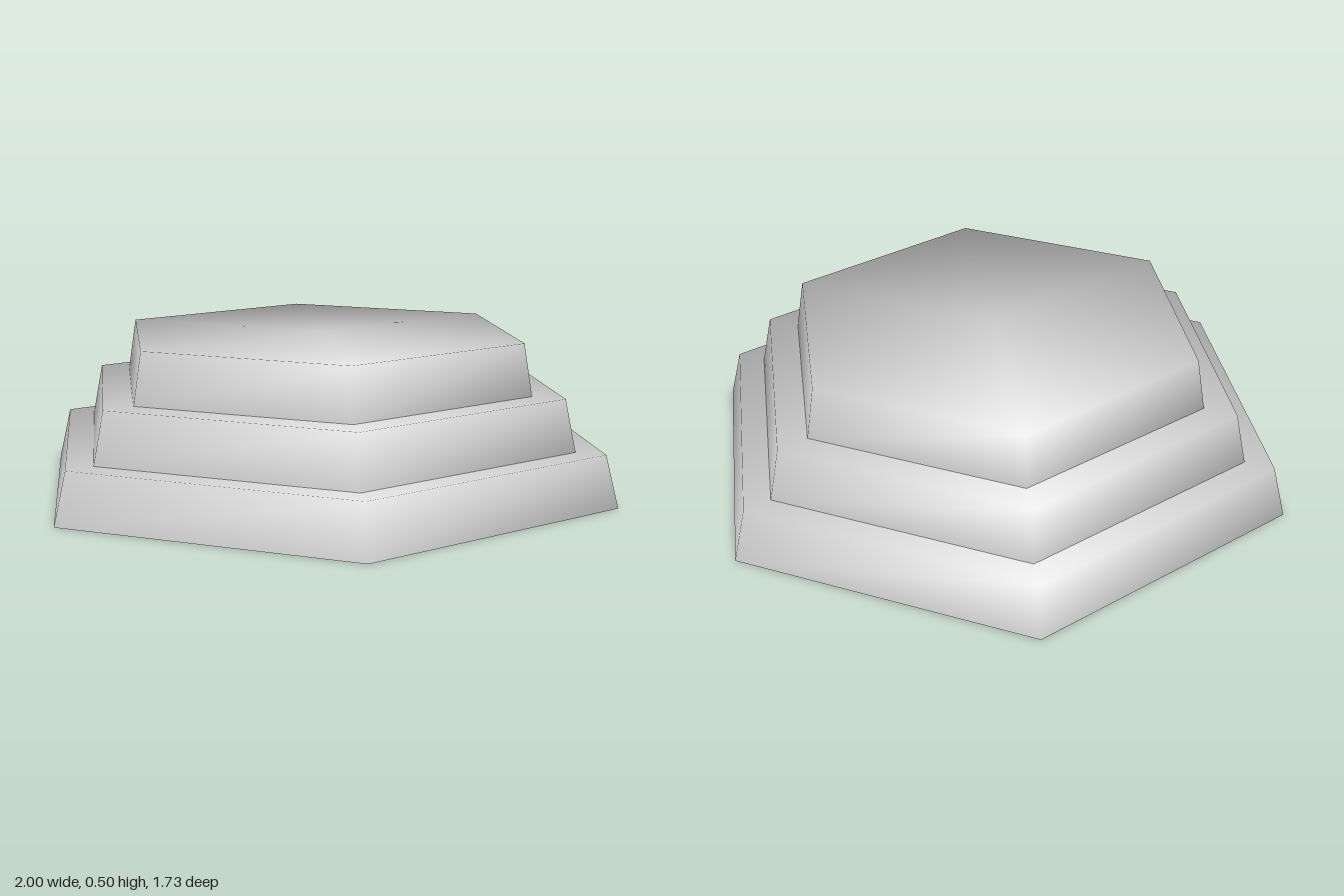
import * as THREE from 'three';

const SIDES = 6;
const TIER_HEIGHT = 1 / 6;

// Smooth normals in which every triangle around a corner counts equally
function setEvenNormals(geometry) {
  const position = geometry.attributes.position;
  const index = geometry.index;
  const sums = Array.from({ length: position.count }, () => new THREE.Vector3());
  const corners = [new THREE.Vector3(), new THREE.Vector3(), new THREE.Vector3()];
  const faceNormal = new THREE.Vector3();
  for (let i = 0; i < index.count; i += 3) {
    corners.forEach((corner, k) => corner.fromBufferAttribute(position, index.getX(i + k)));
    THREE.Triangle.getNormal(...corners, faceNormal);
    for (let k = 0; k < 3; k++) sums[index.getX(i + k)].add(faceNormal);
  }
  const normals = sums.flatMap((sum) => sum.normalize().toArray());
  geometry.setAttribute('normal', new THREE.Float32BufferAttribute(normals, 3));
}

// Tapered hexagonal cap, open underneath, with corners on the x axis
function tierGeometry(topRadius, bottomRadius) {
  const positions = [];
  const indices = [];
  const centre = SIDES * 2;
  for (let i = 0; i < SIDES; i++) {
    const angle = Math.PI / 2 + (i / SIDES) * Math.PI * 2;
    const x = Math.sin(angle);
    const z = Math.cos(angle);
    positions.push(x * topRadius, TIER_HEIGHT, z * topRadius);
    positions.push(x * bottomRadius, 0, z * bottomRadius);

    const top = i * 2;
    const bottom = top + 1;
    const nextTop = ((i + 1) % SIDES) * 2;
    const nextBottom = nextTop + 1;
    indices.push(top, bottom, nextTop, bottom, nextBottom, nextTop); // sloped side
    indices.push(top, nextTop, centre); // flat top
  }
  positions.push(0, TIER_HEIGHT, 0);

  const geometry = new THREE.BufferGeometry();
  geometry.setAttribute('position', new THREE.Float32BufferAttribute(positions, 3));
  geometry.setIndex(indices);
  setEvenNormals(geometry);
  return geometry;
}

export function createModel() {
  const model = new THREE.Group();
  model.name = 'steppedPlatform';

  const stone = new THREE.MeshStandardMaterial({ color: 0xcccccc, side: THREE.DoubleSide });
  stone.name = 'light grey stone';

  // Three stacked tiers, each narrower than the one below
  const tiers = [
    { name: 'lowerTier', top: 0.957, bottom: 1 },
    { name: 'middleTier', top: 0.824, bottom: 0.86 },
    { name: 'upperTier', top: 0.688, bottom: 0.716 },
  ];
  tiers.forEach(({ name, top, bottom }, i) => {
    const tier = new THREE.Mesh(tierGeometry(top, bottom), stone);
    tier.name = name;
    tier.position.y = i * TIER_HEIGHT;
    model.add(tier);
  });

  return model;
}
